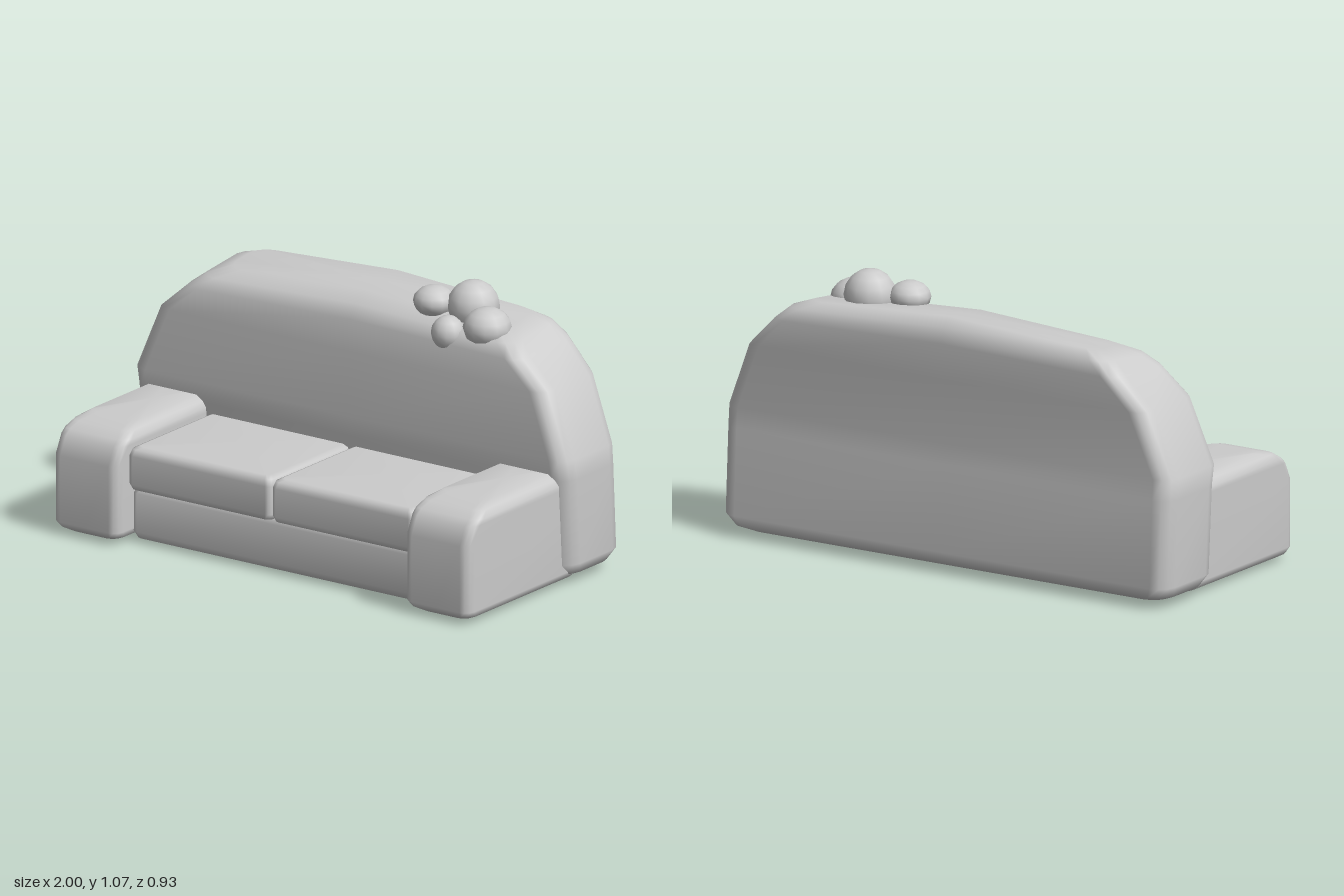
import * as THREE from 'three';

const material = new THREE.MeshStandardMaterial({ color: 0xcccccc });
const clamp01 = (v) => Math.min(1, Math.max(0, v));

// Rounded rectangle in x/z, counter-clockwise seen from below, with mid points on front and back
function section(hw, zf, zb, r) {
  const pts = [];
  const corners = [[1, zf - r, 0], [-1, zf - r, 1], [-1, zb + r, 2], [1, zb + r, 3]];
  corners.forEach(([sx, cz, k]) => {
    for (let i = 0; i <= 3; i++) {
      const a = (k + i / 3) * Math.PI / 2;
      pts.push([sx * (hw - r) + Math.cos(a) * r, cz + Math.sin(a) * r]);
    }
    if (k === 0) pts.push([0, zf]);
    if (k === 2) pts.push([0, zb]);
  });
  return pts;
}

// Soft block stacked from rows of [y, halfWidth, zFront, zBack], closed at both ends
function softBlock(name, rows, radius, x = 0, warp = null) {
  const pos = [], index = [];
  const add = (px, py, pz, hw) => pos.push(px, warp ? warp(px, py, pz, hw) : py, pz);
  let n = 0;
  rows.forEach(([y, hw, zf, zb]) => {
    const ring = section(hw, zf, zb, radius);
    n = ring.length;
    ring.forEach(([px, pz]) => add(px, y, pz, hw));
  });
  for (let j = 0; j < rows.length - 1; j++) {
    for (let i = 0; i < n; i++) {
      const a = j * n + i, b = j * n + (i + 1) % n;
      index.push(a, a + n, b, b, a + n, b + n);
    }
  }
  const last = rows.length - 1;
  [0, last].forEach((j) => {
    const [y, hw, zf, zb] = rows[j];
    const c = pos.length / 3;
    add(0, y, (zf + zb) / 2, hw);
    for (let i = 0; i < n; i++) {
      const a = j * n + i, b = j * n + (i + 1) % n;
      if (j === 0) index.push(c, a, b);
      else index.push(c, b, a);
    }
  });
  const g = new THREE.BufferGeometry();
  g.setAttribute('position', new THREE.Float32BufferAttribute(pos, 3));
  g.setIndex(index);
  g.computeVertexNormals();
  const mesh = new THREE.Mesh(g, material);
  mesh.name = name;
  mesh.position.x = x;
  return mesh;
}

export function createModel() {
  const sofa = new THREE.Group();
  sofa.name = 'sofa';

  // Tall arched backrest; its top rises to the middle and slopes down to the front
  const crown = (x, y, z, hw) => {
    const t = clamp01((y - 0.75) / 0.2);
    return y + t * (0.035 * (1 - Math.abs(x) / hw) - 0.12 * Math.max(0, z + 0.38));
  };
  sofa.add(softBlock('backrest', [
    [0.02, 0.93, -0.2, -0.4],
    [0.04, 0.975, -0.15, -0.44],
    [0.085, 1, -0.122, -0.465],
    [0.42, 1, -0.1, -0.447],
    [0.5, 1, -0.085, -0.44],
    [0.75, 0.9, -0.1, -0.455],
    [0.87, 0.78, -0.108, -0.465],
    [0.92, 0.72, -0.14, -0.45],
    [0.95, 0.64, -0.2, -0.41],
  ], 0.07, 0, crown));

  // Seat base
  sofa.add(softBlock('base', [
    [0, 0.64, 0.32, -0.18],
    [0.012, 0.66, 0.35, -0.2],
    [0.04, 0.67, 0.365, -0.22],
    [0.19, 0.67, 0.365, -0.22],
    [0.22, 0.65, 0.34, -0.22],
  ], 0.03));

  for (const side of [1, -1]) {
    const label = side > 0 ? 'left' : 'right';

    // Armrest with a rounded front top
    sofa.add(softBlock(label + 'Armrest', [
      [0.01, 0.11, 0.42, -0.2],
      [0.025, 0.14, 0.445, -0.23],
      [0.05, 0.15, 0.465, -0.25],
      [0.31, 0.15, 0.465, -0.25],
      [0.38, 0.15, 0.43, -0.25],
      [0.4, 0.15, 0.405, -0.25],
      [0.425, 0.135, 0.37, -0.25],
      [0.445, 0.11, 0.29, -0.23],
    ], 0.04, side * 0.81));

    // Seat cushion
    sofa.add(softBlock(label + 'Cushion', [
      [0.205, 0.3, 0.37, -0.2],
      [0.213, 0.322, 0.39, -0.22],
      [0.235, 0.33, 0.4, -0.22],
      [0.345, 0.33, 0.4, -0.22],
      [0.37, 0.322, 0.39, -0.22],
      [0.38, 0.3, 0.37, -0.2],
    ], 0.025, side * 0.33));
  }

  // Cluster of balls on the top edge: x, y, z, radius, height ratio
  const cluster = new THREE.Group();
  cluster.name = 'ballCluster';
  [
    [0.45, 0.97, -0.27, 0.1, 1],
    [0.305, 0.975, -0.22, 0.08, 0.75],
    [0.565, 0.925, -0.2, 0.093, 0.84],
    [0.42, 0.89, -0.15, 0.065, 1.03],
  ].forEach(([x, y, z, r, h]) => {
    const ball = new THREE.Mesh(new THREE.SphereGeometry(r, 12, 8), material);
    ball.name = 'ball';
    ball.scale.y = h;
    ball.position.set(x, y, z);
    cluster.add(ball);
  });
  sofa.add(cluster);

  return sofa;
}
